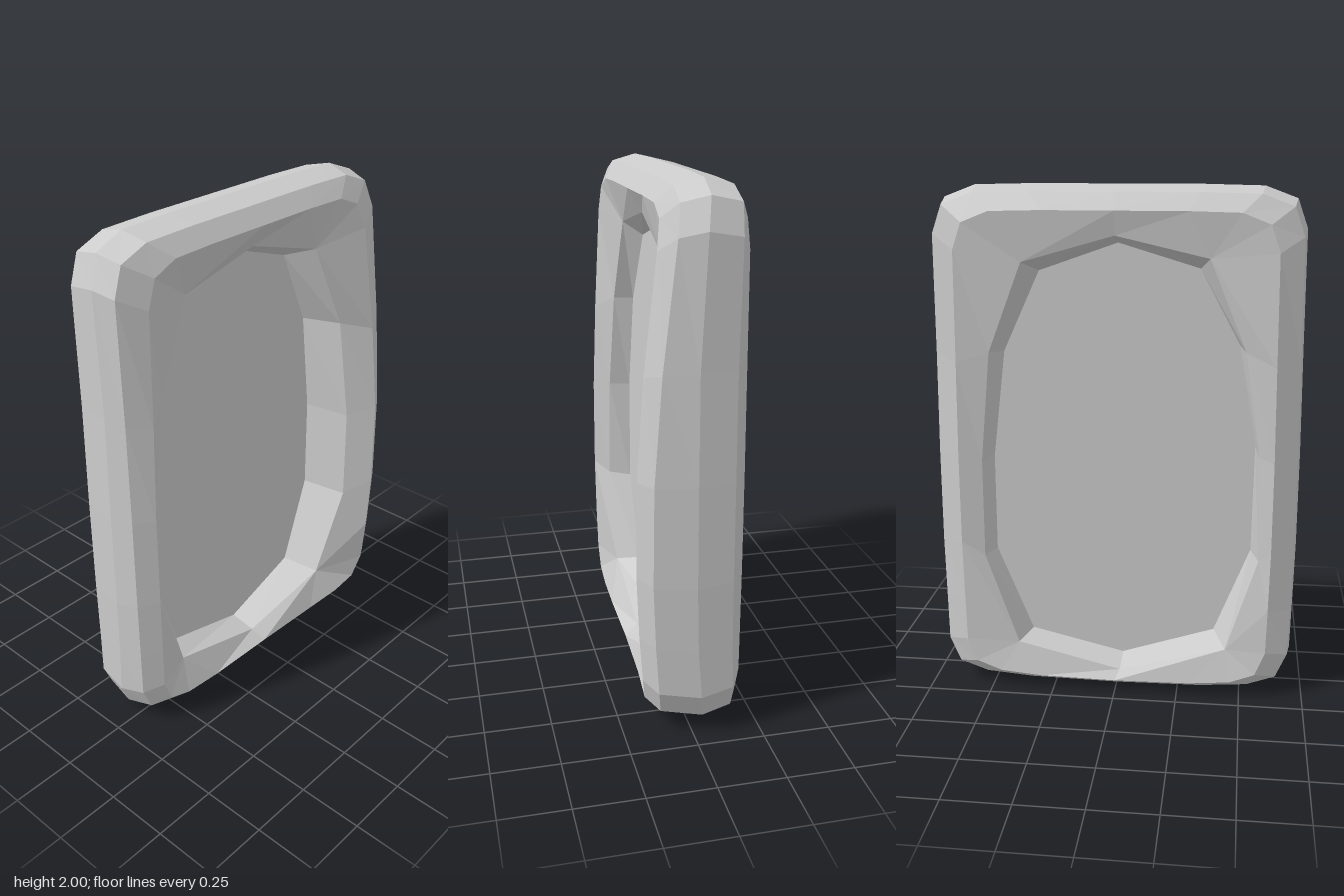
import * as THREE from 'three';

const material = new THREE.MeshStandardMaterial({
  color: 0xcccccc, flatShading: true, side: THREE.DoubleSide,
});

// Right half of the outer outline, top to bottom: x, y, index of the opening corner it joins
const HALF = [
  [0.32, 2.0, 1], [0.54, 1.995, 1], [0.66, 1.95, 1], [0.70, 1.84, 1],
  [0.705, 1.38, 2], [0.71, 0.98, 3], [0.71, 0.6, 4], [0.705, 0.35, 5],
  [0.70, 0.16, 5], [0.655, 0.06, 5], [0.54, 0.02, 5], [0.35, 0.005, 5],
];
const OUTLINE = [
  [0, 2, 0], ...HALF, [0, 0, 6],
  ...HALF.map(([x, y, i]) => [-x, y, 12 - i]).reverse(),
];

// Irregular twelve-sided opening, clockwise from the top: wide rim and narrower pane edge
const RIM = [
  [0, 1.82], [0.35, 1.72], [0.48, 1.38], [0.52, 0.95], [0.52, 0.56], [0.39, 0.19],
  [-0.02, 0.09], [-0.44, 0.2], [-0.56, 0.58], [-0.55, 1.0], [-0.49, 1.4], [-0.35, 1.74],
];
const PANE = [
  [0, 1.785], [0.3, 1.68], [0.44, 1.37], [0.49, 0.95], [0.49, 0.56], [0.35, 0.21],
  [-0.02, 0.11], [-0.39, 0.22], [-0.53, 0.57], [-0.535, 1.0], [-0.465, 1.4], [-0.31, 1.69],
];

// The pane is set slightly askew in the frame
const paneZ = (x) => -0.05 - 0.06 * x;

// Front relief: the sides swell forward low down, more on the +x side
function frontZ(x, y) {
  const side = (x / 0.6) ** 2;
  const swell = 1 - ((y - 0.75) / 1.15) ** 2;
  const sill = 0.022 * Math.max(0, 1 - y) * (1 - side);
  return 0.095 + sill + (x > 0 ? 0.1 : 0.035) * side * swell;
}

// Cross-section of the frame at one outline station, from pane edge over the front to the back
function section([x, y, i]) {
  const [rx, ry] = RIM[i], [px, py] = PANE[i];
  const inset = (kx, ky) => [x * kx, 1 + (y - 1) * ky];
  const end = (y - 1) ** 4;
  const [cx, cy] = inset(0.86 - 0.05 * Math.max(0, y - 1), y > 1 ? 0.91 : 0.95);
  const crest = frontZ(cx, cy);
  return [
    [px, py, paneZ(px)],
    [rx, ry, frontZ(rx, ry) - 0.055],
    [cx, cy, crest],
    [...inset(0.965, 0.975), crest - 0.045],
    [x, y, -0.05 * end],
    [...inset(0.98, 0.975), -0.135 - 0.02 * end],
    [...inset(0.855, y > 1 ? 0.91 : 0.95), -0.193],
    [rx, ry, -0.17],
    [px, py, paneZ(px)],
  ].map((p) => new THREE.Vector3(...p));
}

// Joins the sections into a flat-shaded ring, skipping collapsed triangles
function buildFrame() {
  const rings = OUTLINE.map(section);
  const points = [];
  const triangle = (a, b, c) => {
    if (new THREE.Triangle(a, b, c).getArea() > 1e-6) points.push(a, b, c);
  };
  rings.forEach((ring, i) => {
    const next = rings[(i + 1) % rings.length];
    for (let j = 0; j < ring.length - 1; j++) {
      triangle(ring[j], next[j], next[j + 1]);
      triangle(ring[j], next[j + 1], ring[j + 1]);
    }
  });
  const geometry = new THREE.BufferGeometry().setFromPoints(points);
  geometry.computeVertexNormals();
  return geometry;
}

// Thin flat sheet filling the opening
function buildPane() {
  const shape = new THREE.Shape(PANE.map(([x, y]) => new THREE.Vector2(x, y)));
  const geometry = new THREE.ShapeGeometry(shape);
  const position = geometry.attributes.position;
  for (let i = 0; i < position.count; i++) position.setZ(i, paneZ(position.getX(i)));
  geometry.computeVertexNormals();
  return geometry;
}

export function createModel() {
  const group = new THREE.Group();
  group.name = 'framedPane';

  const frame = new THREE.Mesh(buildFrame(), material);
  frame.name = 'frame';
  const pane = new THREE.Mesh(buildPane(), material);
  pane.name = 'pane';

  group.add(frame, pane);
  return group;
}
